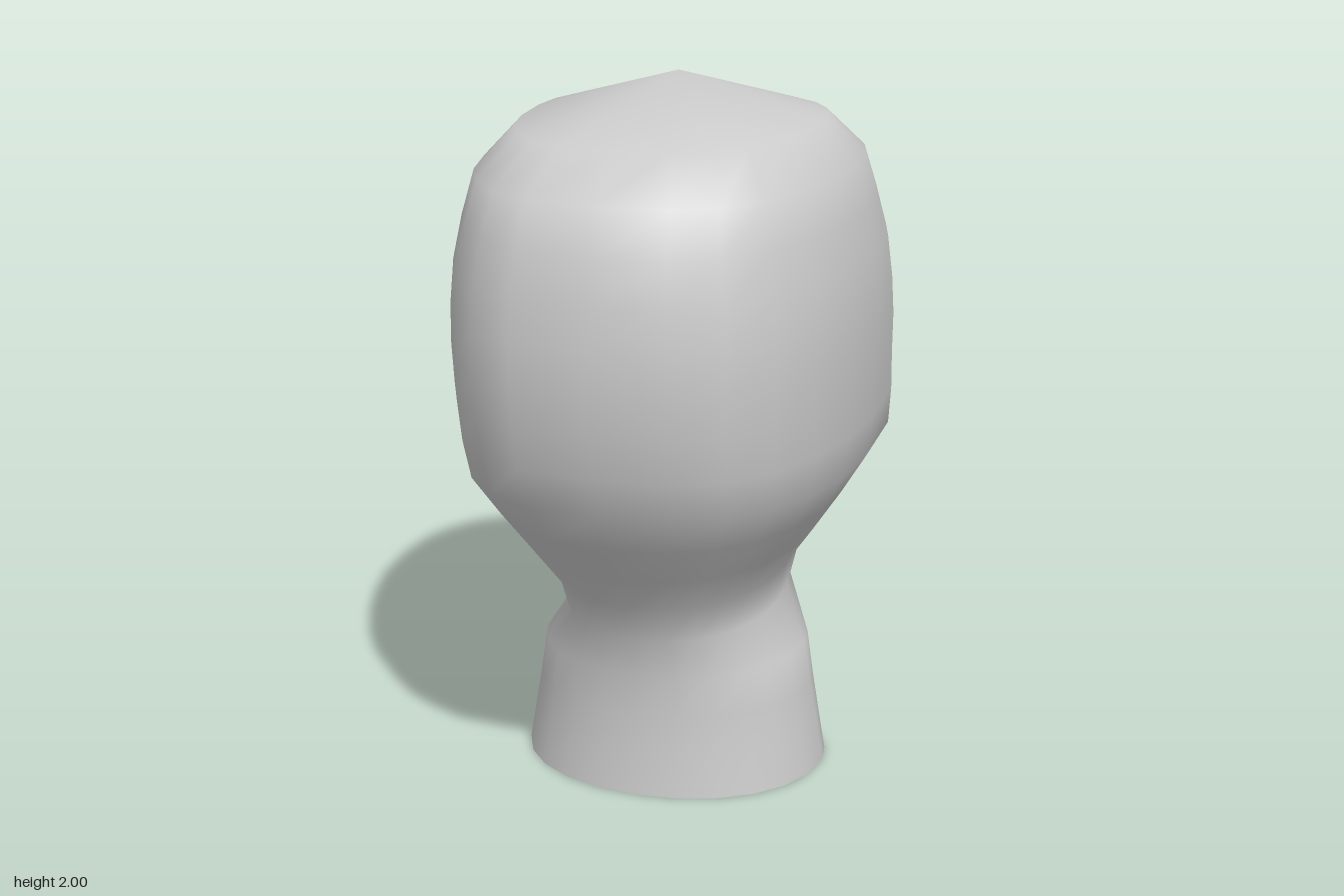
import * as THREE from 'three';

const COLUMNS = 24;

// Rings from neck to crown: y, half width, back depth, face depth,
// side roundness, face roundness, extra depth of the nose column
const RINGS = [
  [0.00, 0.44, 0.39, 0.30, 0.95, 1.00, 0],
  [0.12, 0.42, 0.38, 0.29, 0.95, 1.00, 0],
  [0.24, 0.40, 0.375, 0.285, 0.95, 1.00, 0],
  [0.36, 0.38, 0.38, 0.315, 0.92, 1.00, 0],
  [0.48, 0.30, 0.405, 0.50, 0.88, 1.00, 0],
  [0.595, 0.32, 0.46, 0.635, 0.85, 0.95, 0],
  [0.71, 0.40, 0.545, 0.68, 0.82, 0.85, 0.01],
  [0.83, 0.48, 0.635, 0.685, 0.78, 0.70, 0.015],
  [0.945, 0.55, 0.71, 0.67, 0.73, 0.55, 0.12],
  [1.06, 0.565, 0.75, 0.64, 0.73, 0.60, 0.07],
  [1.18, 0.572, 0.775, 0.63, 0.73, 0.68, 0],
  [1.30, 0.577, 0.788, 0.65, 0.73, 0.75, 0],
  [1.41, 0.575, 0.787, 0.64, 0.73, 0.80, 0],
  [1.53, 0.565, 0.775, 0.62, 0.73, 0.85, 0],
  [1.65, 0.54, 0.75, 0.575, 0.73, 0.90, 0],
  [1.77, 0.51, 0.70, 0.515, 0.73, 0.93, 0],
  [1.88, 0.41, 0.56, 0.37, 0.73, 0.93, 0],
];

function makeGeometry(points, index) {
  const g = new THREE.BufferGeometry();
  g.setAttribute('position', new THREE.Float32BufferAttribute(points, 3));
  g.setIndex(index);
  g.computeVertexNormals();
  return g;
}

// Loft of rounded rings, open at the neck and closed by a point at the crown
function headGeometry() {
  const points = [], index = [];
  for (const [y, w, back, face, px, pf, nose] of RINGS) {
    for (let j = 0; j < COLUMNS; j++) {
      const a = (j / COLUMNS) * Math.PI * 2;
      const s = Math.sin(a), c = Math.cos(a);
      const x = w * Math.sign(s) * Math.abs(s) ** px;
      let z = c > 0 ? back * c ** 0.93 : -face * Math.abs(c) ** pf;
      if (j === COLUMNS / 2) z -= nose;
      points.push(x, y, z);
    }
  }
  for (let i = 0; i < RINGS.length - 1; i++) {
    for (let j = 0; j < COLUMNS; j++) {
      const k = (j + 1) % COLUMNS;
      const a = i * COLUMNS + j, b = i * COLUMNS + k;
      index.push(a, b, b + COLUMNS, a, b + COLUMNS, a + COLUMNS);
    }
  }
  const top = (RINGS.length - 1) * COLUMNS, pole = RINGS.length * COLUMNS;
  points.push(0, 2, 0);
  for (let j = 0; j < COLUMNS; j++) index.push(top + j, top + ((j + 1) % COLUMNS), pole);
  return makeGeometry(points, index);
}

// Arched strip, thick at the inner end and thinner at the outer end
function browGeometry(side) {
  const points = [], index = [], steps = 10;
  for (let i = 0; i <= steps; i++) {
    const t = i / steps;
    const x = side * (0.08 + 0.25 * t);
    const y = 1.28 - 0.05 * t + 0.2 * t * (1 - t);
    const z = -0.675 + 0.055 * t ** 1.5;
    points.push(x, y, z, x, y - 0.04 + 0.02 * t, z);
    if (i < steps) {
      const a = i * 2;
      if (side > 0) index.push(a, a + 2, a + 1, a + 1, a + 2, a + 3);
      else index.push(a, a + 1, a + 2, a + 1, a + 3, a + 2);
    }
  }
  return makeGeometry(points, index);
}

export function createModel() {
  const model = new THREE.Group();
  model.name = 'headModel';
  const grey = new THREE.MeshStandardMaterial({ color: 0xcccccc, side: THREE.DoubleSide });
  grey.name = 'light grey';

  const add = (name, geometry) => {
    const mesh = new THREE.Mesh(geometry, grey);
    mesh.name = name;
    model.add(mesh);
  };
  add('headAndNeck', headGeometry());
  add('leftEyebrow', browGeometry(1));
  add('rightEyebrow', browGeometry(-1));
  return model;
}
